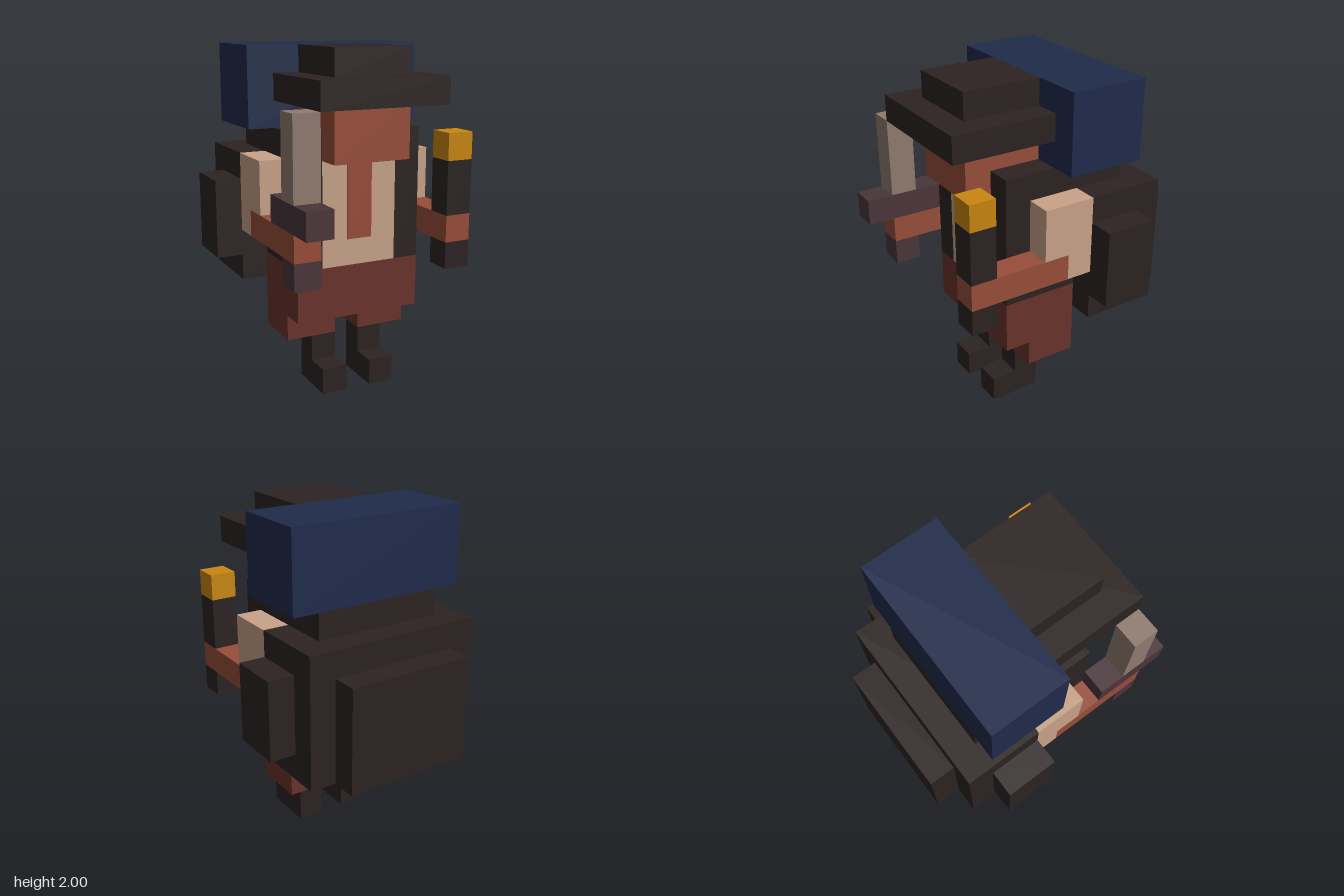
import * as THREE from 'three';

const U = 2 / 13; // one block

const mat = (name, color) => {
  const m = new THREE.MeshStandardMaterial({ color });
  m.name = name;
  return m;
};

export function createModel() {
  const dark = mat('dark leather', 0x2c2322);
  const blue = mat('blue cloth', 0x1f2b4b);
  const red = mat('ruddy skin', 0x984d39);
  const maroon = mat('maroon trousers', 0x6a332c);
  const tan = mat('tan shirt', 0xc9a388);
  const gold = mat('gold flame', 0xc8860f);
  const steel = mat('blade grey', 0x8f7b6f);
  const plum = mat('plum hilt', 0x4a353a);

  const model = new THREE.Group();
  model.name = 'traveller';

  // Box from its limits in blocks
  const box = (name, material, x0, x1, y0, y1, z0, z1, parent = model) => {
    const mesh = new THREE.Mesh(
      new THREE.BoxGeometry((x1 - x0) * U, (y1 - y0) * U, (z1 - z0) * U), material);
    mesh.position.set((x0 + x1) / 2 * U, (y0 + y1) / 2 * U, (z0 + z1) / 2 * U);
    mesh.name = name;
    parent.add(mesh);
  };
  // Same box on both sides of the body
  const pair = (name, material, x0, x1, ...rest) => {
    box('left' + name, material, x0, x1, ...rest);
    box('right' + name, material, -x1, -x0, ...rest);
  };

  // Legs and trousers
  pair('Foot', dark, 0.5, 1.5, 0, 1, 0, 2);
  pair('Shin', dark, 0.5, 1.5, 1, 2, 0, 1);
  pair('TrouserLeg', maroon, 0.5, 2.5, 2, 3, -1, 1);
  box('trousers', maroon, -2.5, 2.5, 3, 5, -1, 2);

  // Torso: open coat over a shirt, with a thin plate down the chest
  box('coatBack', dark, -2.5, 2.5, 5, 9, -1, 1);
  pair('CoatFlap', dark, 1.5, 2.5, 5, 9, 1, 2);
  box('shirt', tan, -1.5, 1.5, 5, 9, 1, 2);
  box('chestStripe', red, -0.5, 0.5, 6, 9, 2, 2.03);
  box('collar', dark, -2.5, 2.5, 9, 10, -3, 2);

  // Head and hat
  box('head', red, -1.5, 1.5, 9, 11, 0, 3);
  box('hatBrim', dark, -2.5, 2.5, 11, 12, 0, 4);
  box('hatCrown', dark, -1.5, 1.5, 12, 13, 0, 3);

  // Arms
  pair('Sleeve', tan, 2.5, 3.5, 7, 9, -1, 1);
  pair('Elbow', tan, 2.5, 3.5, 6, 7, -1, 0);
  pair('Forearm', red, 2.5, 3.5, 6, 7, 0, 4);

  // Torch in the left hand
  const torch = new THREE.Group();
  torch.name = 'torch';
  model.add(torch);
  box('torchEnd', dark, 2.5, 3.5, 5, 6, 3, 4, torch);
  box('torchShaft', dark, 2.5, 3.5, 7, 9, 3, 4, torch);
  box('torchFlame', gold, 2.5, 3.5, 9, 10, 3, 4, torch);

  // Sword in the right hand
  const sword = new THREE.Group();
  sword.name = 'sword';
  model.add(sword);
  box('swordPommel', plum, -3.5, -2.5, 5, 6, 3, 4, sword);
  box('swordGuard', plum, -3.5, -2.5, 7, 8, 2, 5, sword);
  box('swordBlade', steel, -3.5, -2.5, 8, 11, 3, 4, sword);

  // Backpack with pockets and a bedroll on top
  box('backpack', dark, -3.5, 3.5, 4, 9, -4, -1);
  box('rearPocket', dark, -2.5, 2.5, 4, 8, -5, -4);
  pair('SidePocket', dark, 3.5, 4.5, 5, 8, -3, -1);
  box('bedroll', blue, -3.5, 3.5, 10, 13, -3, 0);

  return model;
}
